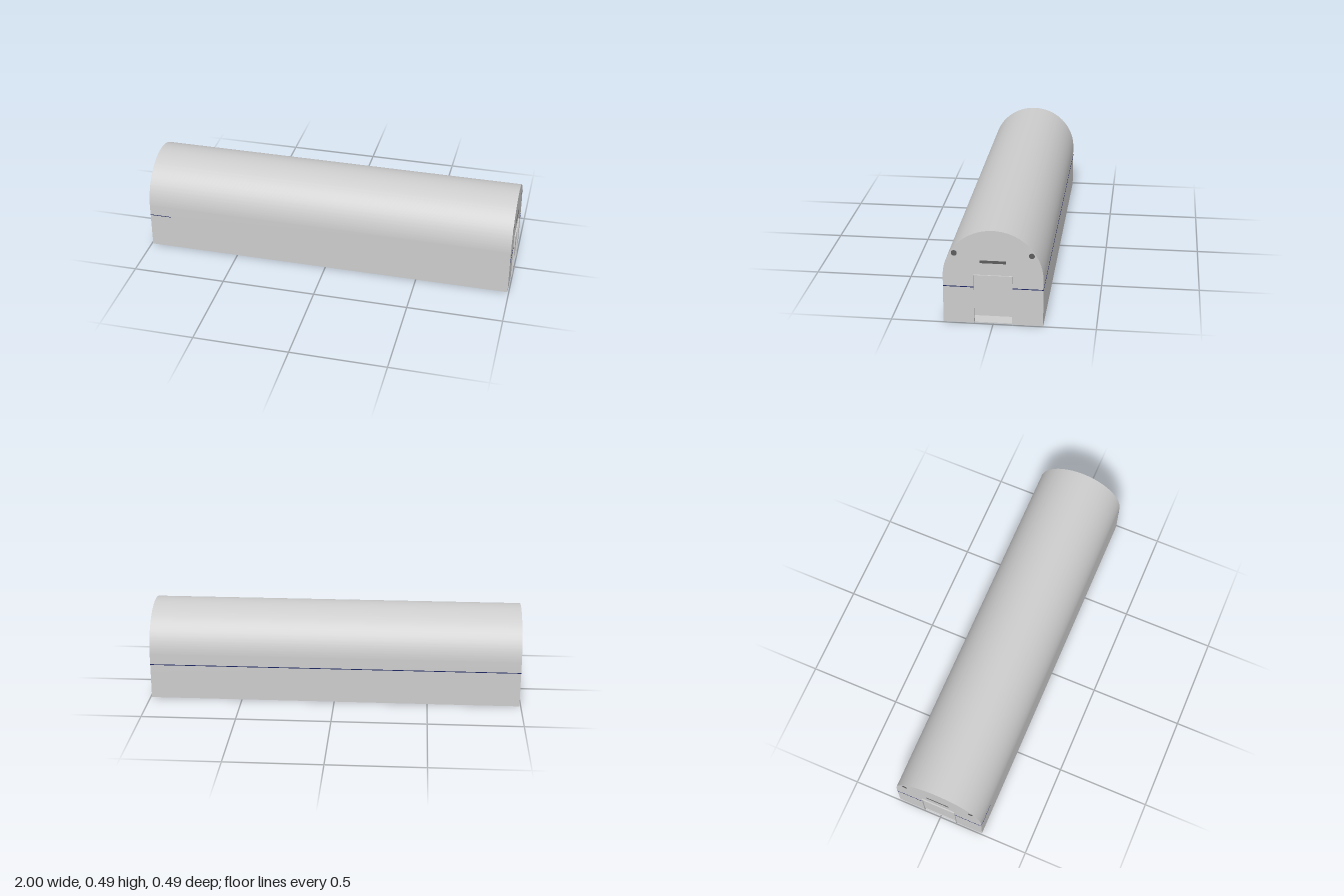
import * as THREE from 'three';
import { toCreasedNormals } from 'three/addons/utils/BufferGeometryUtils.js';

const R = 0.243, END = 0.993, T = 0.004;
const DOOR_W = 0.094, DOOR_H = 0.257, GAP = 0.041;

const grey = new THREE.MeshStandardMaterial({ color: 0xcccccc });
const dark = new THREE.MeshStandardMaterial({ color: 0x5c5c5c });
const navy = new THREE.MeshStandardMaterial({ color: 0x1c2460 });

function add(parent, name, geometry, material, x = 0, y = 0, z = 0) {
  const mesh = new THREE.Mesh(geometry, material);
  mesh.name = name;
  mesh.position.set(x, y, z);
  parent.add(mesh);
  return mesh;
}

// Straight walls under a half-round roof
function arch(path, r, bottom) {
  path.moveTo(-r, bottom);
  path.lineTo(r, bottom);
  path.lineTo(r, R);
  path.absarc(0, R, r, 0, Math.PI, false);
  path.lineTo(-r, bottom);
  return path;
}

// Extrude a cross-section along x, starting at x = 0
function extrudeX(shape, depth) {
  const g = new THREE.ExtrudeGeometry(shape, { depth, bevelEnabled: false, curveSegments: 64 });
  g.rotateY(Math.PI / 2);
  return toCreasedNormals(g, 0.5);
}

function createEnd() {
  const end = new THREE.Group();

  // End wall with a doorway cut up from the floor
  const wall = new THREE.Shape();
  wall.moveTo(DOOR_W, 0);
  wall.lineTo(R, 0);
  wall.lineTo(R, R);
  wall.absarc(0, R, R, 0, Math.PI, false);
  wall.lineTo(-R, 0);
  wall.lineTo(-DOOR_W, 0);
  wall.lineTo(-DOOR_W, DOOR_H);
  wall.lineTo(DOOR_W, DOOR_H);
  add(end, 'endWall', extrudeX(wall, T), grey, END - T);

  // Thin door surround standing proud of the wall
  const depth = 0.02, f = 0.002;
  for (const s of [-1, 1]) {
    add(end, 'doorJamb', new THREE.BoxGeometry(depth, DOOR_H, f), grey, 1 - depth / 2, DOOR_H / 2, s * (DOOR_W - f / 2));
  }
  add(end, 'doorHead', new THREE.BoxGeometry(depth, f, 2 * DOOR_W), grey, 1 - depth / 2, DOOR_H - f / 2, 0);

  // Raised shutter door, open at the bottom
  add(end, 'door', new THREE.BoxGeometry(0.006, DOOR_H - GAP, 2 * (DOOR_W - f)), grey, 0.989, (DOOR_H + GAP) / 2, 0);

  // Round lamps, slot vent and stripe pieces beside the door
  for (const s of [-1, 1]) {
    const lamp = add(end, 'lamp', new THREE.CylinderGeometry(0.014, 0.014, 0.002, 32), dark, END, 0.365, s * 0.187);
    lamp.rotation.z = Math.PI / 2;
    add(end, 'endStripe', new THREE.BoxGeometry(0.002, 0.004, R - DOOR_W), navy, END, 0.191, s * (R + DOOR_W) / 2);
  }
  add(end, 'ventSlot', new THREE.BoxGeometry(0.002, 0.014, 0.125), dark, END, 0.325, 0);
  return end;
}

export function createModel() {
  const model = new THREE.Group();
  model.name = 'archedHall';

  // Hollow hall: walls, vaulted roof and floor
  const section = arch(new THREE.Shape(), R, 0);
  section.holes.push(arch(new THREE.Path(), R - T, T));
  const length = 2 * (END - T);
  add(model, 'hallShell', extrudeX(section, length), grey, -length / 2);

  // Both ends are alike
  for (const [name, angle] of [['leftEnd', 0], ['rightEnd', Math.PI]]) {
    const end = createEnd();
    end.name = name;
    end.rotation.y = angle;
    model.add(end);
  }

  // Stripe along the back, with only a short run on the front
  add(model, 'backStripe', new THREE.BoxGeometry(2 * END, 0.004, 0.002), navy, 0, 0.191, -R);
  add(model, 'frontStripe', new THREE.BoxGeometry(0.12, 0.003, 0.002), navy, -END + 0.06, 0.192, R);
  return model;
}
